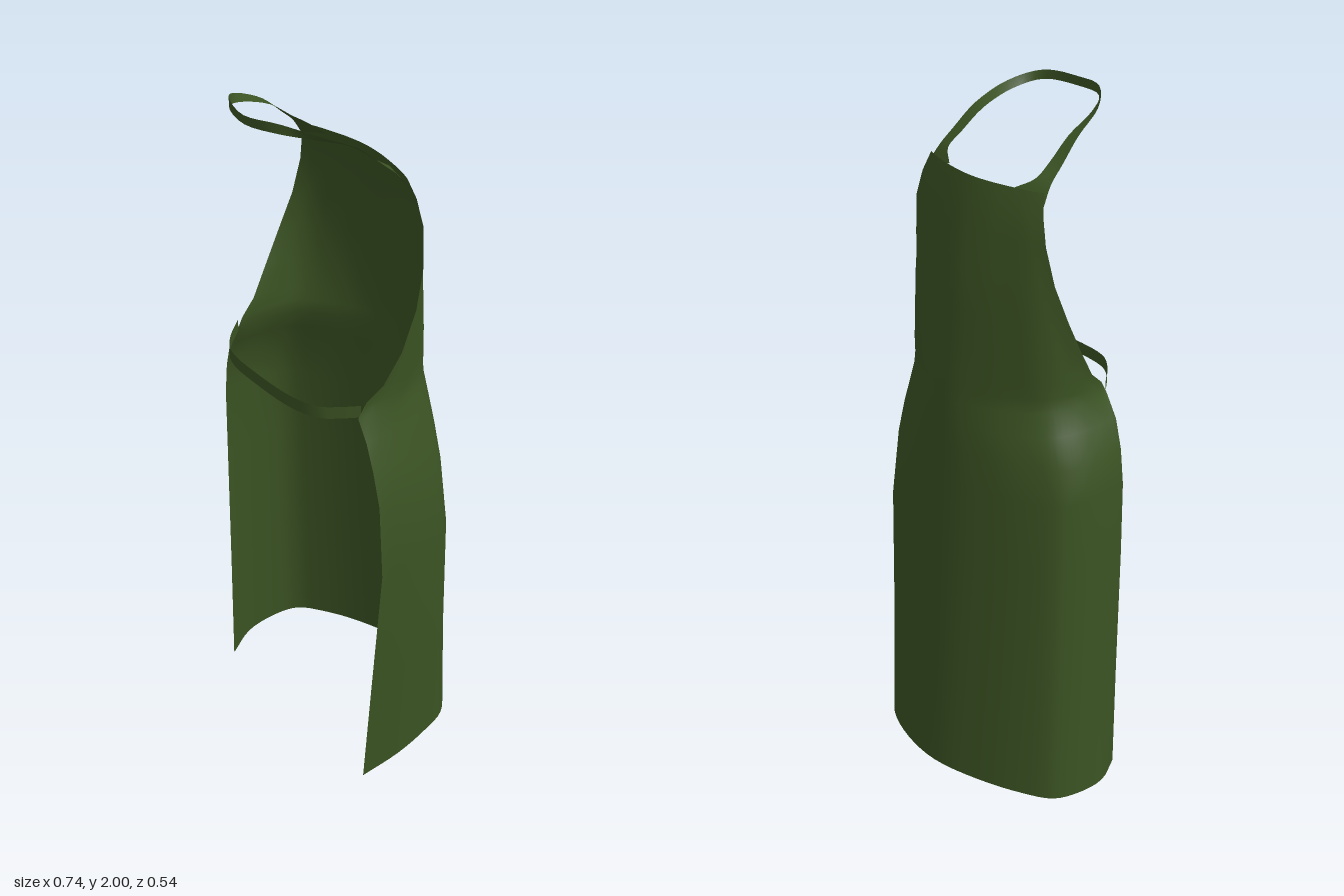
import * as THREE from 'three';

const V = (x, y, z) => new THREE.Vector3(x, y, z);
const green = new THREE.MeshStandardMaterial({ color: 0x3b5323, side: THREE.DoubleSide });
green.name = 'green cloth';

// Cloth sheet lofted through smooth curves, each given as control points
function sheet(name, curves, n) {
  const pos = [], idx = [];
  curves.forEach((pts) => {
    const c = new THREE.CatmullRomCurve3(pts, false, 'centripetal');
    for (let i = 0; i <= n; i++) pos.push(...c.getPoint(i / n).toArray());
  });
  for (let r = 0; r < curves.length - 1; r++) {
    for (let i = 0; i < n; i++) {
      const a = r * (n + 1) + i, b = a + n + 1;
      idx.push(a, b, a + 1, a + 1, b, b + 1);
    }
  }
  const g = new THREE.BufferGeometry();
  g.setAttribute('position', new THREE.Float32BufferAttribute(pos, 3));
  g.setIndex(idx);
  g.computeVertexNormals();
  const mesh = new THREE.Mesh(g, green);
  mesh.name = name;
  return mesh;
}

// Half cross-sections: [share of half-width, share of depth], centre to edge
const SKIRT_RIGHT = [[0, 0], [0.4, 0.1], [0.73, 0.24], [0.93, 0.37], [1, 0.55], [1, 0.78], [1, 1]];
const SKIRT_LEFT = [[0, 0], [0.4, 0.02], [0.75, 0.12], [0.91, 0.24], [0.97, 0.44], [1, 0.7], [1, 1]];
const BIB = [[0, 0], [0.3, 0.12], [0.5, 0.3], [0.7, 0.52], [0.82, 0.68], [0.92, 0.85], [1, 1]];

// Heights: [y centre, y edge, width -x, width +x, edge -x, edge +x, edge z, centre z, bib blend]
const ROWS = [
  [0.045, 0.0, 0.37, 0.34, 0.325, 0.333, 0.16, -0.268, 0],
  [0.4, 0.37, 0.36, 0.35, 0.332, 0.348, 0.147, -0.245, 0.05],
  [0.8, 0.78, 0.352, 0.365, 0.343, 0.365, 0.132, -0.222, 0.1],
  [1.0, 1.0, 0.35, 0.345, 0.34, 0.345, 0.13, -0.21, 0.15],
  [1.1, 1.1, 0.338, 0.325, 0.325, 0.32, 0.132, -0.205, 0.2],
  [1.18, 1.18, 0.305, 0.303, 0.3, 0.295, 0.135, -0.202, 0.25],
  [1.24, 1.24, 0.28, 0.29, 0.26, 0.265, 0.138, -0.198, 0.3],
  [1.28, 1.28, 0.277, 0.287, 0.262, 0.268, 0.115, -0.195, 0.35],
  [1.32, 1.32, 0.277, 0.288, 0.27, 0.28, 0.07, -0.192, 0.42],
  [1.4, 1.4, 0.28, 0.29, 0.28, 0.288, 0.02, -0.183, 0.55],
  [1.5, 1.5, 0.28, 0.28, 0.28, 0.28, -0.03, -0.172, 0.7],
  [1.6, 1.6, 0.262, 0.265, 0.262, 0.265, -0.062, -0.155, 0.85],
  [1.7, 1.7, 0.242, 0.245, 0.242, 0.245, -0.075, -0.13, 0.95],
  [1.77, 1.77, 0.222, 0.227, 0.222, 0.227, -0.066, -0.112, 1],
  [1.82, 1.82, 0.207, 0.21, 0.207, 0.21, -0.05, -0.095, 1],
];

function crossSection([yC, yE, wR, wL, eR, eL, zE, zC, k]) {
  const half = (skirt, w, e, sign) => skirt.map(([s, d], i) => {
    s += (BIB[i][0] - s) * k;
    d += (BIB[i][1] - d) * k;
    const x = i === 6 ? e : s * w;
    return V(sign * x, yC + (yE - yC) * d, zC + (zE - zC) * d);
  });
  const right = half(SKIRT_RIGHT, wR, eR, -1);
  const left = half(SKIRT_LEFT, wL, eL, 1);
  return [...right.reverse(), ...left.slice(1)];
}

// Mirrors a half strap edge, ending at x = 0, into a whole loop
const loop = (pts) => [
  ...pts.map(([x, y, z]) => V(-x, y, z)),
  ...pts.slice(0, -1).reverse().map(([x, y, z]) => V(x, y, z)),
];

export function createModel() {
  const apron = new THREE.Group();
  apron.name = 'apron';

  // Skirt and bib in one piece
  apron.add(sheet('body', ROWS.map(crossSection), 48));

  // Neck strap, twisting from flat on the shoulders to upright behind the neck
  const inner = loop([
    [0.12, 1.815, -0.066], [0.16, 1.84, -0.035], [0.161, 1.87, 0.01], [0.154, 1.92, 0.08],
    [0.14, 1.955, 0.17], [0.1, 1.974, 0.238], [0, 1.972, 0.266]]);
  const outer = loop([
    [0.215, 1.79, -0.058], [0.205, 1.835, -0.025], [0.199, 1.87, 0.015], [0.187, 1.925, 0.08],
    [0.163, 1.97, 0.17], [0.1, 1.998, 0.238], [0, 1.995, 0.268]]);
  apron.add(sheet('neckStrap', [inner, outer], 48));

  // Waist strap across the back
  const waist = [[-0.262, 0.13], [-0.2, 0.2], [-0.145, 0.235], [0, 0.247],
    [0.14, 0.238], [0.205, 0.212], [0.24, 0.17], [0.266, 0.13]];
  apron.add(sheet('waistStrap', [1.242, 1.277].map((y) => waist.map(([x, z]) => V(x, y, z))), 32));

  return apron;
}
